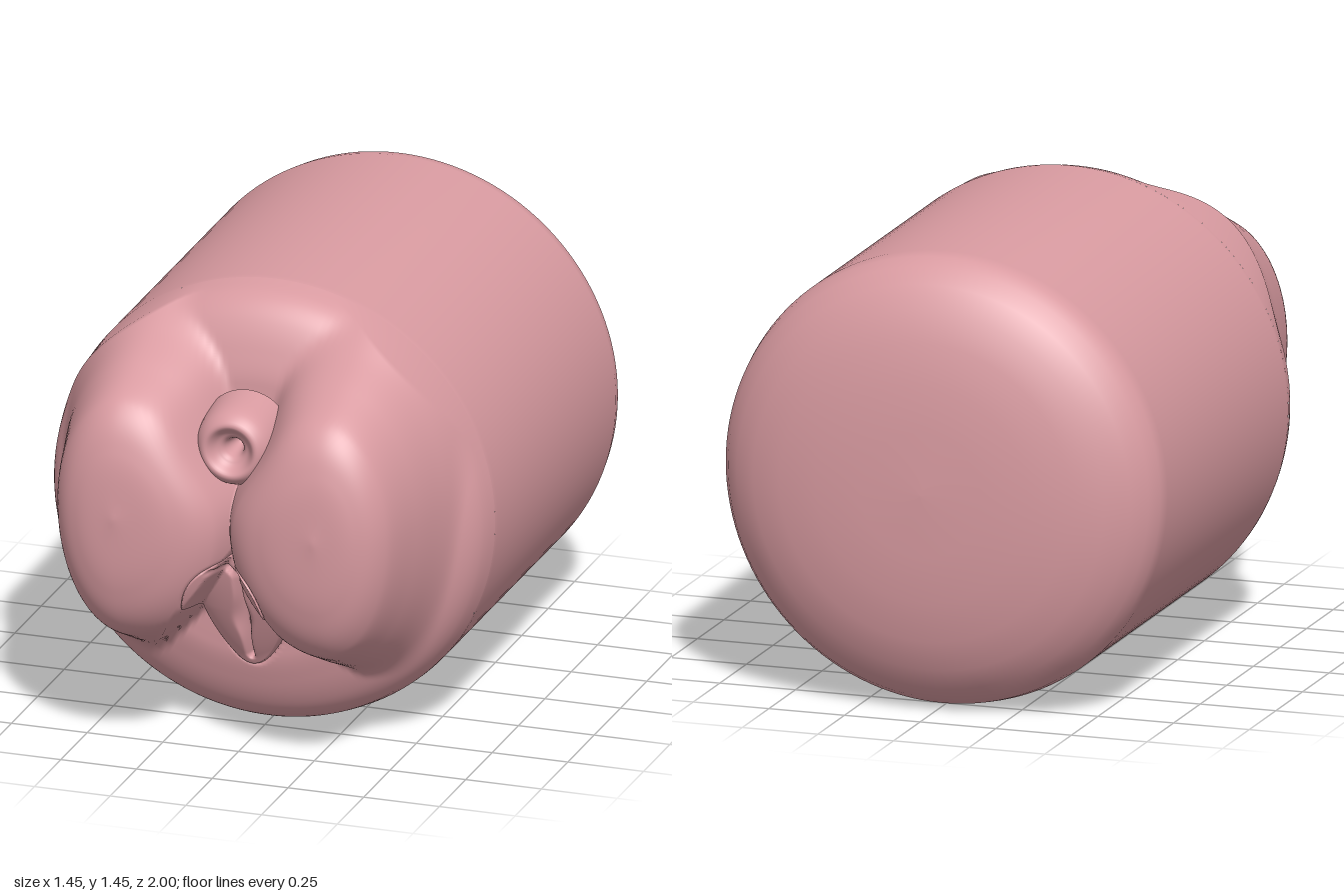
import * as THREE from 'three';

const CY = 0.727; // height of the cylinder axis
const clamp = THREE.MathUtils.clamp, smooth = THREE.MathUtils.smoothstep;

// Smooth interpolation through [position, value] pairs
function curve(points) {
  const slope = points.map((p, i) => {
    const a = points[Math.max(0, i - 1)], b = points[Math.min(points.length - 1, i + 1)];
    return (b[1] - a[1]) / (b[0] - a[0]);
  });
  return (x) => {
    x = clamp(x, points[0][0], points[points.length - 1][0]);
    let i = 0;
    while (i < points.length - 2 && x > points[i + 1][0]) i++;
    const [x0, y0] = points[i], [x1, y1] = points[i + 1], h = x1 - x0, t = (x - x0) / h;
    return y0 * (1 + 2 * t) * (1 - t) ** 2 + slope[i] * h * t * (1 - t) ** 2
      + y1 * t * t * (3 - 2 * t) + slope[i + 1] * h * t * t * (t - 1);
  };
}

const baseProfile = curve([[0, 0.63], [0.45, 0.61], [0.55, 0.585], [0.63, 0.55], [0.68, 0.51], [0.71, 0.46], [0.725, 0.4]]);
const lobeProfile = curve([[0, 1], [0.4, 0.975], [0.65, 0.9], [0.78, 0.75], [0.9, 0.6], [1.1, 0.42], [1.6, 0.1]]);
const softMax = (a, b, k = 0.035) => {
  const h = Math.max(k - Math.abs(a - b), 0) / k;
  return Math.max(a, b) + h * h * k * 0.25;
};

// Front relief: shallow dome with two mirrored lobes and a round hollow
function relief(x, y) {
  const ax = Math.abs(x), u = ax - 0.33, v = y - 0.82;
  let q = Math.hypot(u / (u > 0 ? 0.33 : 0.47), v / (v > 0 ? 0.55 : 0.62));
  const cut = -0.807 * ax - 0.59 * (y - 0.68);
  q += 4 * Math.max(0, cut + 0.01);
  q += 0.16 * Math.exp(-((ax / 0.19) ** 2 + ((y - 1.06) / 0.17) ** 2));
  return softMax(baseProfile(Math.hypot(x, y - CY)), lobeProfile(q));
}

// Almond outline, wider at the top and pointed below
function almond(a) {
  const s = Math.sin(a);
  return [0.145 * Math.cos(a) * (1 + 0.12 * s) * (s < 0 ? 1 + 0.22 * s : 1), 0.455 + 0.225 * s];
}
function almondInside(x, y) {
  const s = (y - 0.455) / 0.225;
  return Math.hypot(x / (0.145 * (1 + 0.12 * s) * (s < 0 ? 1 + 0.22 * s : 1)), s);
}

// Distance to a segment, for carved grooves
function segment(x, y, x0, y0, x1, y1) {
  const dx = x1 - x0, dy = y1 - y0;
  const t = clamp(((x - x0) * dx + (y - y0) * dy) / (dx * dx + dy * dy), 0, 1);
  return Math.hypot(x - x0 - dx * t, y - y0 - dy * t);
}

// Disc of concentric rings whose points are placed by a rule
function disc(rings, sides, place) {
  const pos = [], index = [];
  for (let i = 0; i <= rings; i++)
    for (let j = 0; j < sides; j++) pos.push(...place(i / rings, (j / sides) * Math.PI * 2));
  for (let i = 0; i < rings; i++)
    for (let j = 0; j < sides; j++) {
      const a = i * sides + j, b = i * sides + (j + 1) % sides, c = a + sides, d = b + sides;
      if (i > 0) index.push(a, d, b);
      index.push(a, c, d);
    }
  const g = new THREE.BufferGeometry();
  g.setAttribute('position', new THREE.Float32BufferAttribute(pos, 3));
  g.setIndex(index);
  g.computeVertexNormals();
  return g;
}

function lathe(points, sides) {
  return new THREE.LatheGeometry(points.map(([r, z]) => new THREE.Vector2(r, z)), sides).rotateX(Math.PI / 2);
}

export function createModel() {
  const group = new THREE.Group();
  const rose = new THREE.MeshStandardMaterial({ color: 0xd99ba1 });
  rose.name = 'rose';
  const add = (name, geometry) => {
    const mesh = new THREE.Mesh(geometry, rose);
    mesh.name = name;
    group.add(mesh);
    return mesh;
  };

  // Cylinder with a softly rounded back
  add('body', lathe([[0, -1], [0.2, -0.995], [0.35, -0.982], [0.48, -0.957], [0.58, -0.922], [0.65, -0.877],
    [0.695, -0.828], [0.718, -0.785], [0.727, -0.74], [0.727, 0.38], [0.725, 0.4]], 128)).position.y = CY;

  // Sculpted front face
  add('frontRelief', disc(100, 192, (s, a) => {
    const r = 0.725 * s, x = r * Math.cos(a), y = CY + r * Math.sin(a);
    const sunk = 0.09 * (1 - smooth(almondInside(x, y), 0.75, 0.98));
    return [x, y, s === 1 ? 0.4 : relief(x, y) - sunk];
  }));

  // Raised ring with a dimpled centre
  const ring = curve([[0, 0.7], [0.015, 0.715], [0.03, 0.785], [0.055, 0.81], [0.08, 0.838], [0.105, 0.825], [0.128, 0.775], [0.145, 0.66]]);
  const ringPoints = [];
  for (let i = 28; i >= 0; i--) ringPoints.push([0.145 * i / 28, ring(0.145 * i / 28)]);
  add('frontRing', lathe(ringPoints, 64)).position.y = 1.03;

  // Almond panel with a forked central groove
  add('almondPanel', disc(44, 112, (s, a) => {
    const [ex, ey] = almond(a);
    const x = ex * s, y = 0.455 + (ey - 0.455) * s, ax = Math.abs(x);
    const plane = 0.585 + 0.42 * (y - 0.23) + 0.045 * Math.sqrt(Math.max(0, 1 - s * s));
    let z = softMax(plane, relief(x, y) + 0.006, 0.02);
    const width = 0.008 + 0.01 * Math.exp(-(((y - 0.43) / 0.06) ** 2));
    z -= 0.06 * Math.exp(-((segment(x, y, 0, 0.28, 0, 0.59) / width) ** 2));
    z -= 0.03 * Math.exp(-((segment(ax, y, 0, 0.59, 0.045, 0.64) / 0.008) ** 2));
    return [x, y, z - 0.05 * smooth(s, 0.93, 1)];
  }));

  return group;
}
